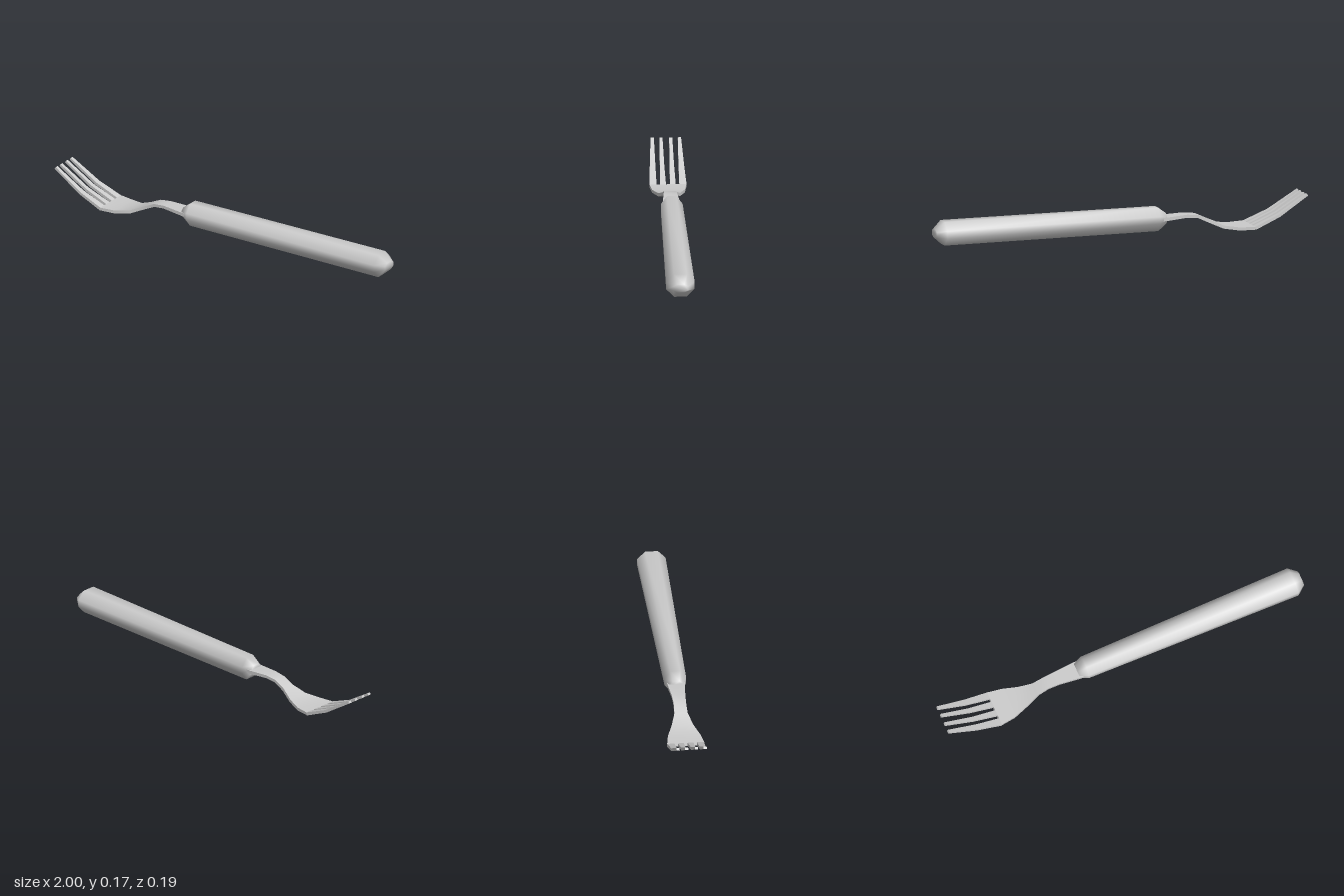
import * as THREE from 'three';
import { toCreasedNormals } from 'three/addons/utils/BufferGeometryUtils.js';

const material = new THREE.MeshStandardMaterial({ color: 0xcccccc });

// Skin a list of rings (ordered along +x, counterclockwise seen from +x), capped at both ends
function loft(rings) {
  const n = rings[0].length, last = (rings.length - 1) * n, index = [];
  for (let k = 0; k < rings.length - 1; k++) {
    for (let i = 0; i < n; i++) {
      const j = (i + 1) % n;
      const a = k * n + i, b = k * n + j, c = a + n, d = b + n;
      index.push(a, b, c, b, d, c);
    }
  }
  for (let i = 1; i < n - 1; i++) {
    index.push(0, i + 1, i, last, last + i, last + i + 1);
  }
  const geometry = new THREE.BufferGeometry();
  geometry.setAttribute('position', new THREE.Float32BufferAttribute(rings.flat(2), 3));
  geometry.setIndex(index);
  geometry.computeVertexNormals();
  return geometry;
}

// Side profile of the metal: [x, y, half thickness]
const spine = [
  [-0.996, 0.166, 0.006], [-0.84, 0.068, 0.007], [-0.71, 0.013, 0.008], [-0.63, 0.0115, 0.008],
  [-0.55, 0.022, 0.008], [-0.48, 0.053, 0.008], [-0.42, 0.081, 0.008], [-0.36, 0.087, 0.008],
  [-0.25, 0.08, 0.009], [-0.18, 0.079, 0.009],
];

// Flat section at a spine point, square to the curve, between z0 and z1
function section(k, z0, z1) {
  const [x, y, t] = spine[k];
  const p = spine[Math.max(k - 1, 0)], q = spine[Math.min(k + 1, spine.length - 1)];
  const length = Math.hypot(q[0] - p[0], q[1] - p[1]);
  const dx = -(q[1] - p[1]) / length * t, dy = (q[0] - p[0]) / length * t;
  return [
    [x - dx, y - dy, z0], [x + dx, y + dy, z0],
    [x + dx, y + dy, z1], [x - dx, y - dy, z1],
  ];
}

// Octagonal section of the handle
function octagon(x, halfHeight, halfWidth, flatY, flatZ) {
  const y = 0.079, h = halfHeight, w = halfWidth;
  return [
    [-w, -flatY], [-w, flatY], [-flatZ, h], [flatZ, h],
    [w, flatY], [w, -flatY], [flatZ, -h], [-flatZ, -h],
  ].map(([z, v]) => [x, y + v, z]);
}

export function createModel() {
  const group = new THREE.Group();
  const add = (name, geometry) => {
    const mesh = new THREE.Mesh(geometry, material);
    mesh.name = name;
    group.add(mesh);
  };

  // Handle: tapered octagonal bar with bevelled ends
  add('handle', loft([
    octagon(-0.25, 0.028, 0.036, 0.012, 0.018),
    octagon(-0.205, 0.061, 0.056, 0.018, 0.025),
    octagon(0.955, 0.061, 0.073, 0.019, 0.033),
    octagon(1, 0.022, 0.038, 0.01, 0.018),
  ]));

  // Neck widening into the head, half widths from the tine roots to the handle
  const widths = [0.095, 0.083, 0.056, 0.034, 0.032, 0.035, 0.045, 0.048];
  add('neckAndHead', toCreasedNormals(loft(widths.map((w, i) => section(i + 2, -w, w))), 0.8));

  // Four tines: [inner z, outer z] at tip, middle and root, mirrored
  const tines = {
    innerTine: [[0.017, 0.033], [0.0135, 0.0365], [0.01, 0.04]],
    outerTine: [[0.061, 0.078], [0.059, 0.088], [0.058, 0.095]],
  };
  for (const [name, spans] of Object.entries(tines)) {
    for (const side of [1, -1]) {
      const rings = spans.map(([a, b], k) => (side > 0 ? section(k, a, b) : section(k, -b, -a)));
      add(name + (side > 0 ? 'Front' : 'Back'), toCreasedNormals(loft(rings), 0.8));
    }
  }
  return group;
}
